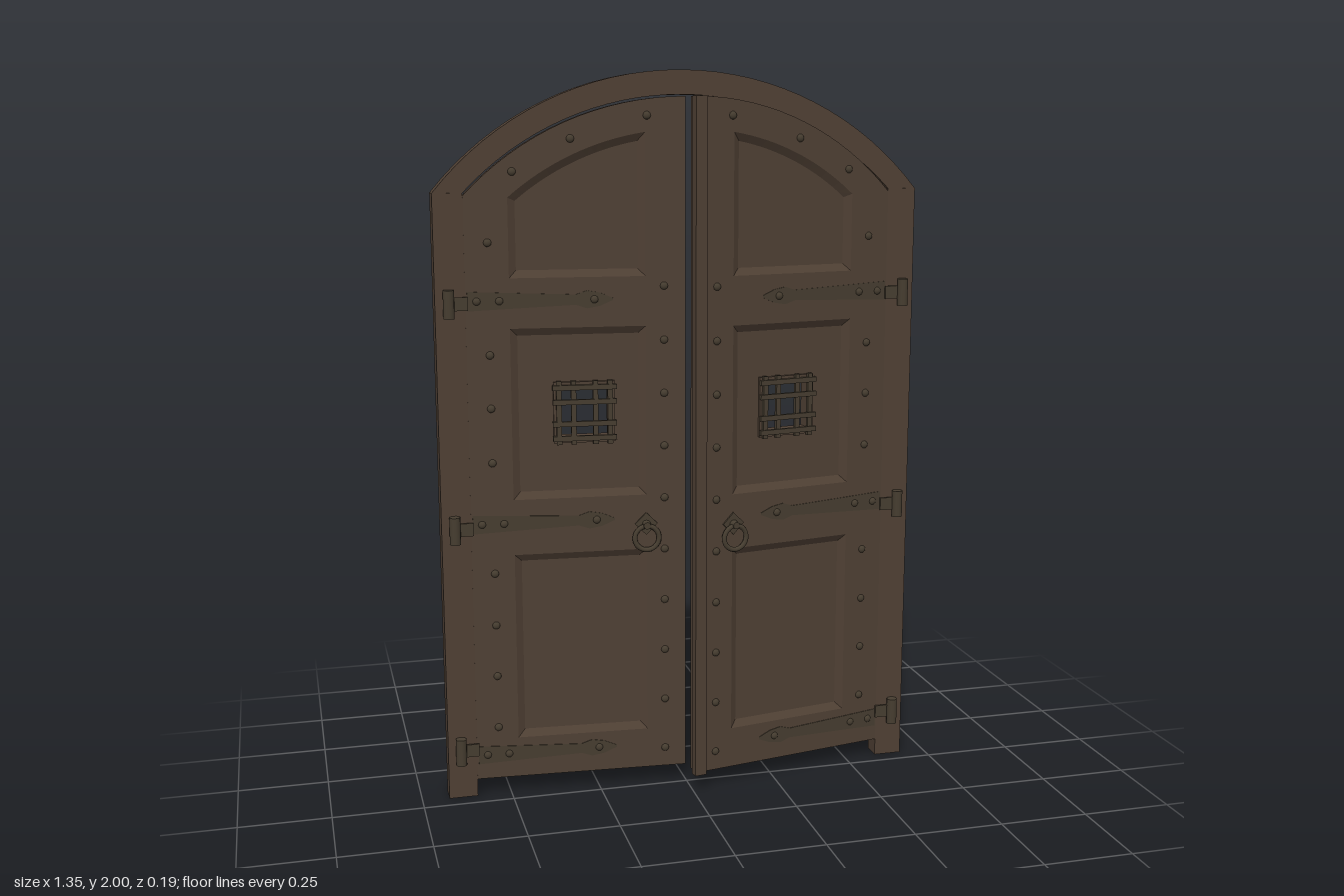
import * as THREE from 'three';

const wood = new THREE.MeshStandardMaterial({ color: 0x4f4034 });
wood.name = 'dark wood';
const iron = new THREE.MeshStandardMaterial({ color: 0x463d30 });
iron.name = 'aged iron';

const ARCH_Y = 1.113; // common arch centre for doors and panels
const THICK = 0.04;
const WIN = { x: 0.28, y: 1.087 };
const HINGE_Y = [0.14, 0.775, 1.39];
const STRAP_Y = [0.12, 0.785, 1.395];

function add(parent, name, geo, mat, x = 0, y = 0, z = 0) {
  const m = new THREE.Mesh(geo, mat);
  m.name = name;
  m.position.set(x, y, z);
  parent.add(m);
  return m;
}
const box = (w, h, d) => new THREE.BoxGeometry(w, h, d);
const extrude = (shape, depth) => new THREE.ExtrudeGeometry(shape, { depth, bevelEnabled: false });
const toShape = (pts) => new THREE.Shape(pts);

// Outline with flat or arched top, counter-clockwise for s = 1
function outline(s, x0, x1, y0, top, inset = 0) {
  const a = x0 + inset, b = x1 - inset, pts = [[a, y0 + inset], [b, y0 + inset]];
  if (top.r) {
    const r = top.r - inset, n = 16;
    const t0 = Math.acos(b / r), t1 = Math.acos(a / r);
    for (let i = 0; i <= n; i++) {
      const t = t0 + (t1 - t0) * i / n;
      pts.push([r * Math.cos(t), ARCH_Y + r * Math.sin(t)]);
    }
  } else pts.push([b, top.y - inset], [a, top.y - inset]);
  return pts.map(([x, y]) => new THREE.Vector2(s * x, y));
}

function square(cx, cy, h) {
  return [[-h, -h], [h, -h], [h, h], [-h, h]].map(([x, y]) => new THREE.Vector2(cx + x, cy + y));
}

// Sloped moulding between two loops of equal length
function bevel(outer, zo, inner, zi, flip) {
  const pos = [], n = outer.length;
  for (let i = 0; i < n; i++) {
    const j = (i + 1) % n;
    const A = [outer[i].x, outer[i].y, zo], B = [outer[j].x, outer[j].y, zo];
    const C = [inner[j].x, inner[j].y, zi], D = [inner[i].x, inner[i].y, zi];
    pos.push(...(flip ? [A, C, B, A, D, C] : [A, B, C, A, C, D]).flat());
  }
  const g = new THREE.BufferGeometry();
  g.setAttribute('position', new THREE.Float32BufferAttribute(pos, 3));
  g.computeVertexNormals();
  return g;
}

function buildFrame(root) {
  for (const s of [-1, 1]) add(root, 'framePost', box(0.08, 1.68, 0.055), wood, s * 0.635, 0.84, -0.0725);
  const arc = (r, cy, half, n = 32) => {
    const t0 = Math.acos(half / r), out = [];
    for (let i = 0; i <= n; i++) {
      const t = t0 + (Math.PI - 2 * t0) * i / n;
      out.push(new THREE.Vector2(r * Math.cos(t), cy + r * Math.sin(t)));
    }
    return out;
  };
  const pts = [...arc(0.872, 1.128, 0.675), ...arc(0.822, ARCH_Y, 0.595).reverse()];
  add(root, 'frameArch', extrude(toShape(pts), 0.055), wood, 0, 0, -0.1);
}

function buildHinges(root, s) {
  for (const y of HINGE_Y) {
    add(root, 'hingeBarrel', new THREE.CylinderGeometry(0.015, 0.015, 0.076, 12), iron, s * 0.64, y, -0.031);
    add(root, 'hingeLink', box(0.045, 0.036, 0.006), iron, s * 0.612, y, -0.036);
  }
}

function buildPanels(door, s) {
  const panels = [
    { y0: 0.165, top: { y: 0.695 } },
    { y0: 0.85, top: { y: 1.32 }, window: true },
    { y0: 1.455, top: { r: 0.732 } },
  ];
  for (const p of panels) {
    const outer = outline(s, 0.11, 0.478, p.y0, p.top);
    const inner = outline(s, 0.11, 0.478, p.y0, p.top, 0.02);
    const shape = toShape(inner);
    if (p.window) shape.holes.push(new THREE.Path(square(s * WIN.x, WIN.y, 0.066)));
    add(door, 'panelCore', extrude(shape, 0.014), wood, 0, 0, -0.027);
    add(door, 'panelMouldingFront', bevel(outer, 0, inner, -0.013, s < 0), wood);
    add(door, 'panelMouldingBack', bevel(outer, -THICK, inner, -0.027, s > 0), wood);
    p.hole = new THREE.Path(outer);
  }
  return panels.map((p) => p.hole);
}

function buildWindow(door, s) {
  const cx = s * WIN.x;
  const lining = toShape(square(cx, WIN.y, 0.084));
  lining.holes.push(new THREE.Path(square(cx, WIN.y, 0.066)));
  add(door, 'windowLining', extrude(lining, 0.036), wood, 0, 0, -0.04);
  for (const k of [-0.07, -0.03, 0.03, 0.07]) {
    add(door, 'grateUpright', box(0.014, 0.175, 0.01), iron, cx + k, WIN.y, 0.001);
    add(door, 'grateCrossbar', box(0.175, 0.014, 0.01), iron, cx, WIN.y + k, 0.005);
  }
}

function buildStuds(door, s) {
  const geo = new THREE.SphereGeometry(0.011, 10, 4, 0, Math.PI * 2, 0, Math.PI / 2);
  geo.scale(1, 0.7, 1).rotateX(Math.PI / 2);
  const spots = [[0.465, 1.735], [0.31, 1.82], [0.105, 1.88]];
  for (let i = 0; i < 10; i++) spots.push([0.06, 0.105 + i * 0.147]);
  for (const y of [0.2, 0.35, 0.497, 0.645, 0.955, 1.105, 1.25, 1.55]) spots.push([0.533, y]);
  for (const y of STRAP_Y) for (const x of [0.565, 0.505, 0.25]) spots.push([x, y]);
  for (const [x, y] of spots) add(door, 'stud', geo, iron, s * x, y, 0.001);
}

// Tapered hinge straps with a spear tip
function buildStraps(door, s) {
  const half = [[0.59, 0.026], [0.45, 0.02], [0.3, 0.014], [0.27, 0.024], [0.235, 0.018], [0.2, 0.003]];
  const pts = [...half, ...half.map(([x, h]) => [x, -h]).reverse()];
  const shape = toShape(pts.map(([x, y]) => new THREE.Vector2(s * x, y)));
  for (const y of STRAP_Y) add(door, 'hingeStrap', extrude(shape, 0.003), iron, 0, y, -0.001);
}

function buildRingPull(door, s) {
  const x = s * 0.112;
  const plate = add(door, 'ringPlate', box(0.045, 0.045, 0.005), iron, x, 0.768, 0.0025);
  plate.rotation.z = Math.PI / 4;
  const boss = add(door, 'ringBoss', new THREE.CylinderGeometry(0.01, 0.013, 0.024, 12), iron, x, 0.766, 0.012);
  boss.rotation.x = Math.PI / 2;
  add(door, 'ringPull', new THREE.TorusGeometry(0.034, 0.007, 8, 28), iron, x, 0.73, 0.015);
}

// Bowed pull handle on the back
function buildBackHandle(door, s) {
  const x = s * 0.035;
  const path = [[0.7, -0.04], [0.72, -0.065], [0.765, -0.08], [0.835, -0.08], [0.88, -0.065], [0.9, -0.04]];
  const curve = new THREE.CatmullRomCurve3(path.map(([y, z]) => new THREE.Vector3(x, y, z)));
  add(door, 'backHandle', new THREE.TubeGeometry(curve, 24, 0.008, 8), iron);
  for (const y of [0.69, 0.91]) add(door, 'backHandleFoot', box(0.026, 0.045, 0.006), iron, x, y, -THICK - 0.002);
}

function buildDoor(root, s, angle) {
  const pivot = new THREE.Group();
  pivot.name = s > 0 ? 'leftDoor' : 'rightDoor';
  pivot.position.set(s * 0.6, 0, -0.045);
  pivot.rotation.y = angle;
  const door = new THREE.Group();
  door.name = 'doorLeaf';
  door.position.x = -s * 0.6;
  pivot.add(door);
  root.add(pivot);

  const slab = toShape(outline(s, 0.001, 0.595, 0.05, { r: 0.817 }));
  slab.holes.push(...buildPanels(door, s));
  add(door, 'doorSlab', extrude(slab, THICK), wood, 0, 0, -THICK);
  buildWindow(door, s);
  buildStraps(door, s);
  buildStuds(door, s);
  buildRingPull(door, s);
  if (s > 0) add(door, 'meetingStrip', box(0.034, 1.88, 0.022), wood, 0.004, 0.99, 0.011);
  else buildBackHandle(door, s);
}

export function createModel() {
  const root = new THREE.Group();
  root.name = 'archedDoubleDoor';
  buildFrame(root);
  for (const s of [-1, 1]) buildHinges(root, s);
  buildDoor(root, 1, 0.19);
  buildDoor(root, -1, -0.068);
  return root;
}
